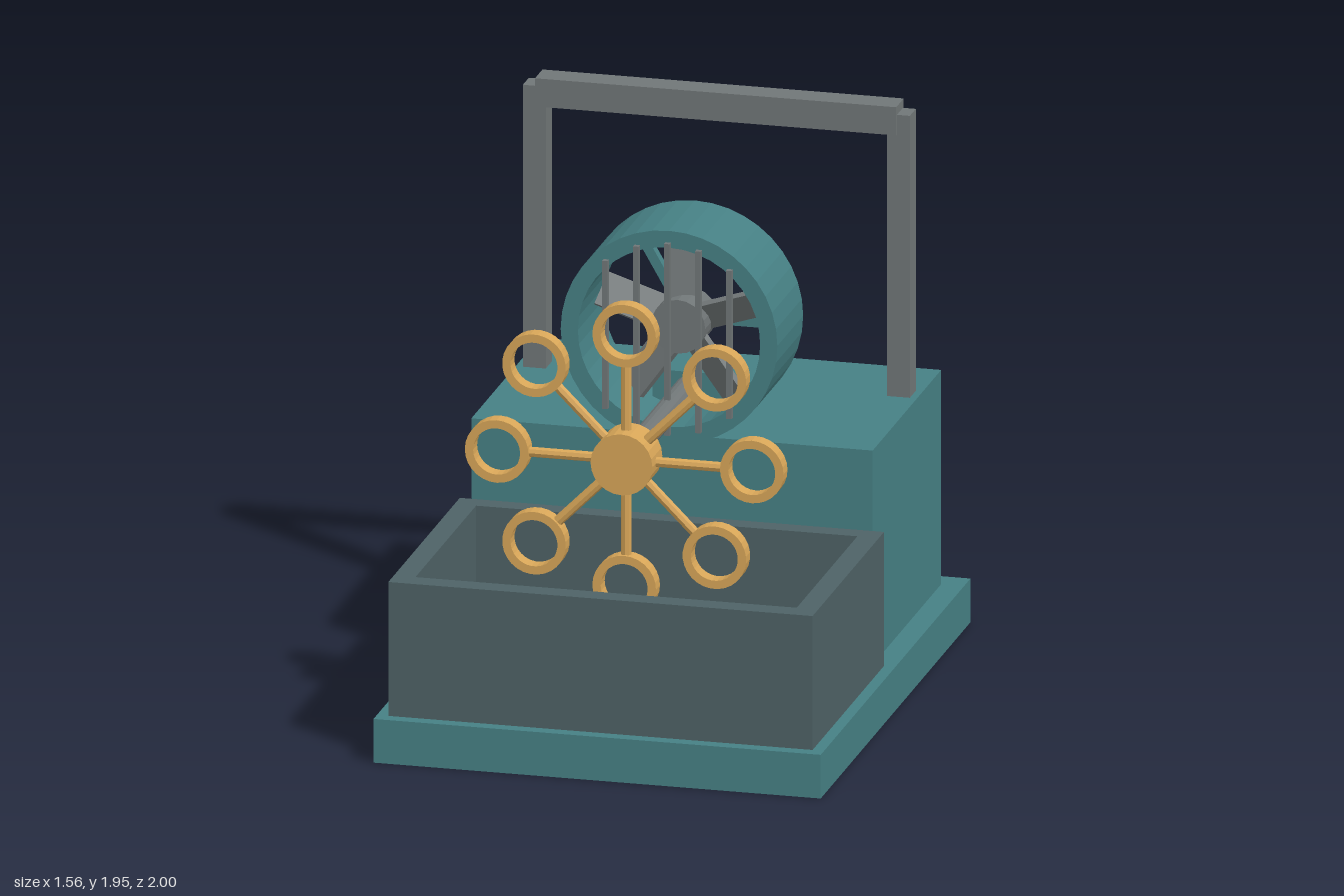
import * as THREE from 'three';

const paint = (color) => new THREE.MeshStandardMaterial({ color, flatShading: true });

export function createModel() {
  const model = new THREE.Group();
  const teal = paint(0x468084);
  const steel = paint(0x707677);
  const slate = paint(0x4e6266);
  const gold = paint(0xd8a658);

  const add = (name, geometry, material, x = 0, y = 0, z = 0, parent = model) => {
    const mesh = new THREE.Mesh(geometry, material);
    mesh.name = name;
    mesh.position.set(x, y, z);
    parent.add(mesh);
    return mesh;
  };

  // Box given by its limits on each axis
  const block = (name, material, [x0, x1], [y0, y1], [z0, z1], parent = model) =>
    add(name, new THREE.BoxGeometry(x1 - x0, y1 - y0, z1 - z0), material,
      (x0 + x1) / 2, (y0 + y1) / 2, (z0 + z1) / 2, parent);

  // Cylinder along z between two depths
  const rod = (name, material, radius, y, z0, z1, sides, parent = model) =>
    add(name, new THREE.CylinderGeometry(radius, radius, z1 - z0, sides).rotateX(Math.PI / 2),
      material, 0, y, (z0 + z1) / 2, parent);

  // Flat ring with a square section, starting at z = 0
  const ringGeometry = (outer, inner, depth, segments) => {
    const shape = new THREE.Shape().absarc(0, 0, outer, 0, Math.PI * 2);
    shape.holes.push(new THREE.Path().absarc(0, 0, inner, 0, Math.PI * 2, true));
    return new THREE.ExtrudeGeometry(shape, { depth, bevelEnabled: false, curveSegments: segments / 2 });
  };

  // Base, machine body and rear plate
  block('base', teal, [-0.78, 0.78], [0, 0.155], [-1, 1]);
  block('body', teal, [-0.7, 0.7], [0.155, 0.915], [-0.915, 0]);
  block('rearPlate', gold, [-0.095, 0.095], [0.613, 0.75], [-0.925, -0.91]);

  // Open liquid tank
  const tank = new THREE.Group();
  tank.name = 'tank';
  model.add(tank);
  block('tankFloor', slate, [-0.665, 0.665], [0.155, 0.225], [0.07, 0.88], tank);
  block('tankFront', slate, [-0.74, 0.74], [0.155, 0.63], [0.88, 0.955], tank);
  block('tankBack', slate, [-0.74, 0.74], [0.155, 0.63], [0.001, 0.07], tank);
  block('tankRight', slate, [-0.74, -0.665], [0.155, 0.63], [0.07, 0.88], tank);
  block('tankLeft', slate, [0.665, 0.74], [0.155, 0.63], [0.07, 0.88], tank);

  // Carrying handle
  block('handlePostLeft', steel, [0.595, 0.675], [0.915, 1.915], [-0.672, -0.592]);
  block('handlePostRight', steel, [-0.675, -0.595], [0.915, 1.915], [-0.672, -0.592]);
  block('handleBar', steel, [-0.63, 0.63], [1.845, 1.945], [-0.682, -0.582]);

  // Fan: housing, struts, hub, blades and front grille
  const fan = new THREE.Group();
  fan.name = 'fan';
  fan.position.y = 1.272;
  model.add(fan);
  add('fanHousing', ringGeometry(0.378, 0.318, 0.345, 40), teal, 0, 0, -0.305, fan);
  rod('fanHub', steel, 0.095, 0, -0.235, -0.08, 20, fan);
  for (let i = 0; i < 3; i++) {
    const arm = new THREE.Group();
    arm.name = 'fanStrut';
    arm.rotation.z = i * Math.PI * 2 / 3;
    fan.add(arm);
    block('strut', teal, [0.06, 0.33], [-0.017, 0.017], [-0.225, -0.19], arm);
  }
  for (let i = 0; i < 5; i++) {
    const arm = new THREE.Group();
    arm.name = 'fanBlade';
    arm.rotation.z = i * Math.PI * 2 / 5;
    fan.add(arm);
    const blade = block('blade', steel, [-0.06, 0.06], [0.06, 0.3], [-0.16, -0.14], arm);
    blade.rotation.y = 0.6;
  }
  for (let i = -2; i <= 2; i++) {
    const x = i * 0.108;
    const half = Math.sqrt(0.34 ** 2 - x * x);
    block('grilleBar', steel, [x - 0.01, x + 0.01], [-half, half], [0.05, 0.07], fan);
  }

  // Drive shaft and its rear bearing
  block('bearing', teal, [-0.12, 0.12], [0.915, 1.075], [-0.325, -0.2]);
  rod('shaft', steel, 0.041, 1.018, -0.36, 0.6, 16);

  // Wand wheel with eight rings
  const wheel = new THREE.Group();
  wheel.name = 'wandWheel';
  wheel.position.set(0, 1.018, 0.612);
  model.add(wheel);
  rod('wheelHub', gold, 0.108, 0, -0.07, 0.063, 24, wheel);
  for (let i = 0; i < 8; i++) {
    const wand = new THREE.Group();
    wand.name = 'wand';
    wand.rotation.z = i * Math.PI / 4;
    wheel.add(wand);
    add('spoke', new THREE.CylinderGeometry(0.018, 0.018, 0.26, 8), gold, 0, 0.22, 0, wand);
    add('wandRing', ringGeometry(0.111, 0.082, 0.054, 28), gold, 0, 0.445, -0.027, wand);
  }

  return model;
}
